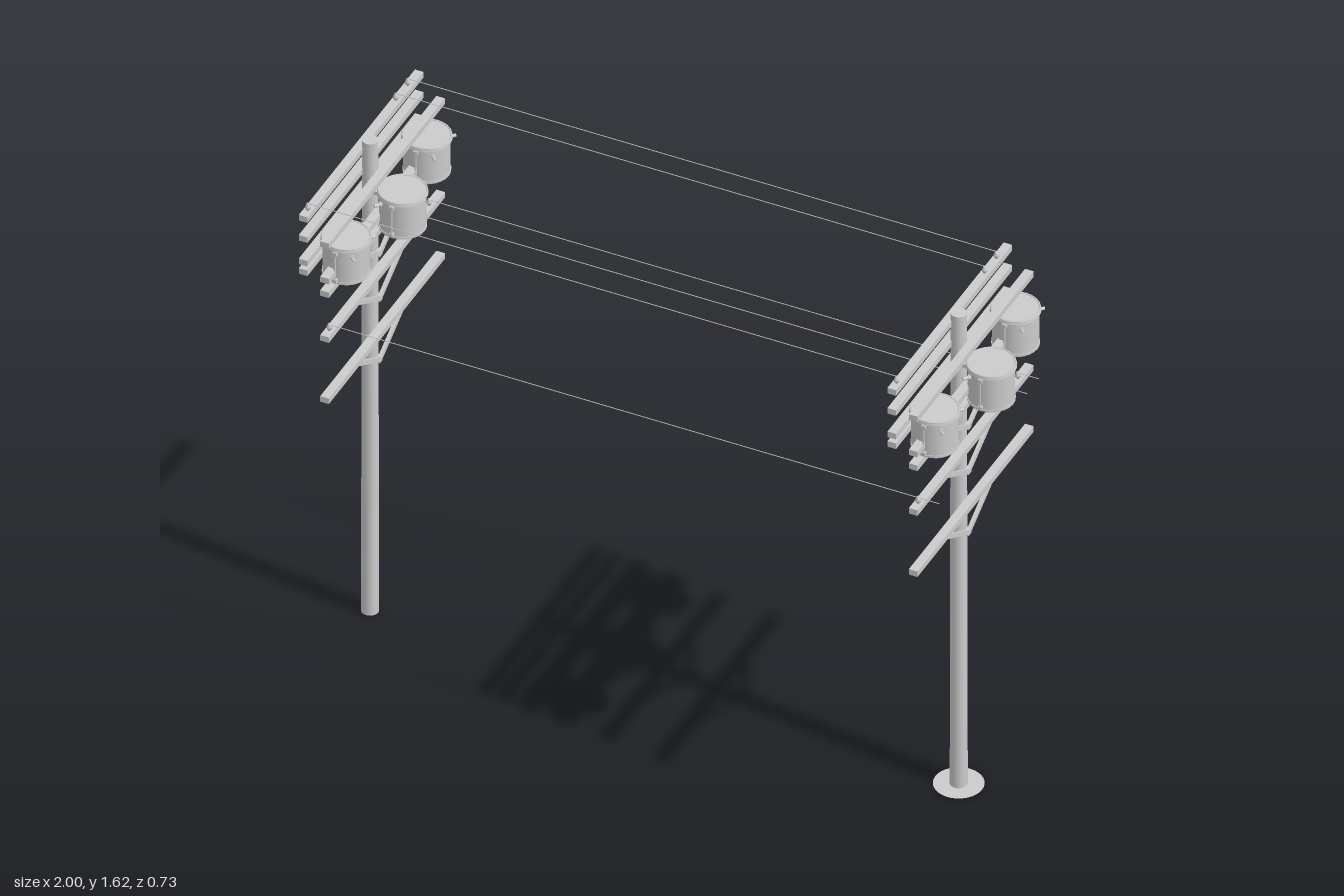
import * as THREE from 'three';

const grey = new THREE.MeshStandardMaterial({ color: 0xcccccc });
const greyDouble = new THREE.MeshStandardMaterial({ color: 0xcccccc, side: THREE.DoubleSide });

const ARM_BACK = -0.027, ARM_FRONT = 0.038; // arm x offsets from the pole axis
const WIRE_Z = [0.333, -0.218, -0.292];

function add(parent, name, geometry, x = 0, y = 0, z = 0, material = grey) {
  const mesh = new THREE.Mesh(geometry, material);
  mesh.name = name;
  mesh.position.set(x, y, z);
  parent.add(mesh);
  return mesh;
}

// Cylinder stretched between two points
function rod(parent, name, a, b, radius, sides = 8) {
  const dir = b.clone().sub(a);
  const mesh = add(parent, name, new THREE.CylinderGeometry(radius, radius, dir.length(), sides));
  mesh.position.copy(a).add(b).multiplyScalar(0.5);
  mesh.quaternion.setFromUnitVectors(new THREE.Vector3(0, 1, 0), dir.normalize());
  return mesh;
}

function crossArm(parent, x, y) {
  add(parent, 'crossArm', new THREE.BoxGeometry(0.026, 0.019, 0.728), x, y, 0);
}

// V-shaped pair of flat struts below an arm
function braces(parent, armY) {
  for (const s of [-1, 1]) {
    const dy = 0.106, dz = 0.184;
    const strut = add(parent, 'brace', new THREE.BoxGeometry(0.01, 0.013, Math.hypot(dy, dz)),
      0.029, armY - 0.006 - dy / 2, s * dz / 2);
    strut.rotation.x = -s * Math.atan2(dy, dz);
  }
  add(parent, 'braceBolt', new THREE.BoxGeometry(0.014, 0.018, 0.018), 0.027, armY - 0.11, 0);
}

function insulator(parent, x, y, z) {
  const points = [[0, 0], [0.004, 0], [0.004, 0.008], [0.008, 0.009], [0.008, 0.015],
    [0.005, 0.018], [0.005, 0.024], [0, 0.027]].map(p => new THREE.Vector2(...p));
  add(parent, 'insulator', new THREE.LatheGeometry(points, 10), x, y, z);
}

// Drum transformer with rims, side straps and two bushings
function transformer(parent, x, z, bushingAngle) {
  const g = new THREE.Group();
  g.name = 'transformer';
  g.position.set(x, 1.357, z);
  parent.add(g);
  add(g, 'tank', new THREE.CylinderGeometry(0.065, 0.065, 0.116, 24), 0, 0.06, 0);
  add(g, 'bottomRim', new THREE.CylinderGeometry(0.067, 0.067, 0.007, 24), 0, 0.0035, 0);
  add(g, 'lid', new THREE.CylinderGeometry(0.069, 0.071, 0.009, 24), 0, 0.117, 0);
  const rim = add(g, 'lidRim', new THREE.TorusGeometry(0.067, 0.003, 6, 24), 0, 0.121, 0);
  rim.rotation.x = Math.PI / 2;
  for (const s of [-1, 1]) {
    add(g, 'strap', new THREE.CylinderGeometry(0.003, 0.003, 0.1, 6), 0, 0.063, s * 0.071);
    for (const y of [0.013, 0.105])
      add(g, 'strapLug', new THREE.BoxGeometry(0.012, 0.012, 0.014), 0, y, s * 0.068);
    const dir = new THREE.Vector3(Math.cos(bushingAngle), 0, s * Math.sin(bushingAngle));
    const at = r => dir.clone().multiplyScalar(r).setY(0.092);
    rod(g, 'bushing', at(0.058), at(0.086), 0.005);
    rod(g, 'bushingCollar', at(0.063), at(0.07), 0.008);
  }
}

function utilityPole(x) {
  const g = new THREE.Group();
  g.name = 'utilityPole';
  g.position.x = x;
  add(g, 'pole', new THREE.CylinderGeometry(0.0225, 0.025, 1.617, 20), 0, 0.8085, 0);

  for (const y of [1.585, 1.516, 1.435, 1.402]) crossArm(g, ARM_BACK, y);
  for (const y of [1.516, 1.395, 1.348, 1.194, 0.984]) crossArm(g, ARM_FRONT, y);
  for (const y of [1.348, 1.194, 0.984]) braces(g, y);

  for (const z of WIRE_Z) {
    insulator(g, ARM_BACK, 1.592, z);
    insulator(g, ARM_FRONT, 1.201, z);
  }

  // The middle transformer sits further forward, on a bracket
  for (const z of [-0.253, 0.253]) transformer(g, 0.05, z, 0.86);
  transformer(g, 0.099, 0, 2.25);
  for (const y of [1.385, 1.45])
    add(g, 'bracket', new THREE.BoxGeometry(0.04, 0.012, 0.03), 0.03, y, 0);
  return g;
}

export function createModel() {
  const model = new THREE.Group();
  model.name = 'powerLine';
  const xs = [-0.959, 0.828];
  for (const x of xs) model.add(utilityPole(x));

  // Flat ground disc under one pole
  const disc = add(model, 'baseDisc', new THREE.CircleGeometry(0.071, 32), xs[1], 0.001, 0, greyDouble);
  disc.rotation.x = -Math.PI / 2;

  // Wires along the upper and lower insulators
  for (const z of WIRE_Z) {
    rod(model, 'upperWire', new THREE.Vector3(xs[0] + ARM_BACK, 1.617, z),
      new THREE.Vector3(xs[1] + ARM_BACK, 1.617, z), 0.0012, 6);
    rod(model, 'lowerWire', new THREE.Vector3(xs[0] + ARM_FRONT, 1.222, z),
      new THREE.Vector3(0.93, 1.222, z), 0.0012, 6);
  }
  return model;
}
